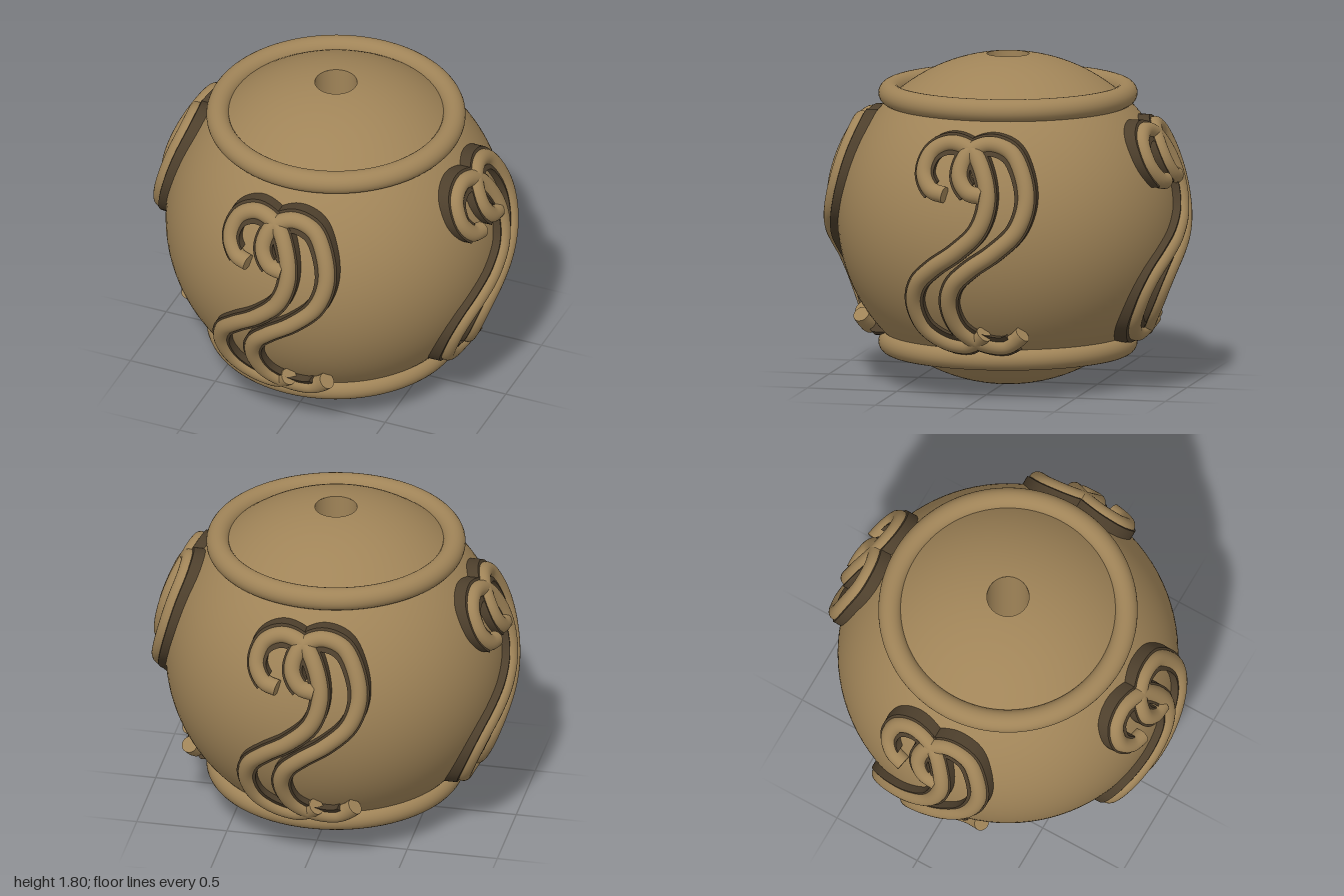
import * as THREE from 'three';
import { toCreasedNormals } from 'three/addons/utils/BufferGeometryUtils.js';

const RX = 0.925, RY = 0.907, HOLE = 0.115, MID = 0.9;  // body radii, bore radius, centre height
const RIDE = 0.955, TUBE = 0.046;                       // scroll centreline radius and thickness
const BED = 0.967, FOOT = 0.87, BED_WIDTH = 0.056;      // dark bed: top and foot radius, half width

// S-shaped scroll with hooked ends, in the x/y plane of one side
const SCROLL = [[-0.135, 1.155], [-0.21, 1.175], [-0.262, 1.26], [-0.23, 1.37], [-0.125, 1.422],
  [0, 1.385], [0.075, 1.27], [0.105, 1.12], [0.06, 0.97], [-0.06, 0.85], [-0.2, 0.75],
  [-0.29, 0.66], [-0.322, 0.55], [-0.28, 0.41], [-0.17, 0.328], [-0.05, 0.307],
  [0.01, 0.335], [0.06, 0.38]];

const onSphere = (x, y, r) => new THREE.Vector3(x, y, Math.sqrt(r * r - x * x - y * y));

// Join equal closed rings of points into a capped solid
function loft(rings) {
  const size = rings[0].length, index = [];
  const last = (rings.length - 1) * size;
  for (let i = 0; i < rings.length - 1; i++) {
    for (let j = 0; j < size; j++) {
      const a = i * size + j, b = i * size + (j + 1) % size;
      index.push(a, a + size, b, a + size, b + size, b);
    }
  }
  for (let j = 1; j < size - 1; j++) {
    index.push(0, j, j + 1, last, last + j + 1, last + j);
  }
  const g = new THREE.BufferGeometry().setFromPoints(rings.flat());
  g.setIndex(index);
  return toCreasedNormals(g, 0.7);
}

// Round bead and the upright-walled bed beneath it
function scrollGeometries(shift) {
  const curve = new THREE.CatmullRomCurve3(
    SCROLL.map(([x, y]) => new THREE.Vector3(x + shift, y - MID, 0)));
  const steps = 130, sides = 20;
  const path = curve.getSpacedPoints(steps).map(p => onSphere(p.x, p.y, RIDE));
  const bead = [], bed = [];
  path.forEach((p, i) => {
    const t = path[Math.min(i + 1, steps)].clone().sub(path[Math.max(i - 1, 0)]).normalize();
    const n = p.clone().normalize();
    const side = t.clone().cross(n).normalize();
    bead.push(Array.from({ length: sides }, (_, j) => {
      const a = Math.PI * 2 * j / sides;
      return p.clone().addScaledVector(side, TUBE * Math.cos(a)).addScaledVector(n, TUBE * Math.sin(a));
    }));
    // The bed stops short of the bead's ends
    if (i < 5 || i > steps - 5) return;
    const w = new THREE.Vector2(t.y, -t.x).normalize().multiplyScalar(BED_WIDTH);
    bed.push([[1, FOOT], [1, BED], [-1, BED], [-1, FOOT]].map(
      ([s, r]) => onSphere(p.x + s * w.x, p.y + s * w.y, r)));
  });
  return { bead: loft(bead), bed: loft(bed) };
}

export function createModel() {
  const model = new THREE.Group();
  model.name = 'scrolledBead';
  const bronze = new THREE.MeshStandardMaterial({ color: 0xa08458 });
  bronze.name = 'bronze';
  const darkBronze = new THREE.MeshStandardMaterial({ color: 0x4d3f2c });
  darkBronze.name = 'darkBronze';
  const add = (parent, name, geometry, material, y = 0) => {
    const mesh = new THREE.Mesh(geometry, material);
    mesh.name = name;
    mesh.position.y = y;
    parent.add(mesh);
  };

  // Slightly flattened round body, open at both poles
  const open = Math.asin(HOLE / RX);
  const body = new THREE.SphereGeometry(1, 96, 64, 0, Math.PI * 2, open, Math.PI - 2 * open);
  add(model, 'body', body.scale(RX, RY, RX), bronze, MID);

  // Bore through the middle, facing inward
  const h = RY * Math.cos(open);
  add(model, 'bore', new THREE.LatheGeometry(
    [new THREE.Vector2(HOLE, h), new THREE.Vector2(HOLE, -h)], 48), bronze, MID);

  // Rings around top and bottom
  for (const [name, y] of [['topRing', 1.585], ['bottomRing', 0.22]]) {
    add(model, name, new THREE.TorusGeometry(0.642, 0.062, 24, 96).rotateX(Math.PI / 2), bronze, y);
  }

  // Pair of scrolls on each of the four sides
  const scrolls = [scrollGeometries(0), scrollGeometries(0.205)];
  ['front', 'left', 'back', 'right'].forEach((name, k) => {
    const pair = new THREE.Group();
    pair.name = name + 'Scrolls';
    pair.position.y = MID;
    pair.rotation.y = k * Math.PI / 2;
    scrolls.forEach(({ bead, bed }, i) => {
      add(pair, name + 'Scroll' + (i + 1), bead, bronze);
      add(pair, name + 'ScrollBed' + (i + 1), bed, darkBronze);
    });
    model.add(pair);
  });
  return model;
}
